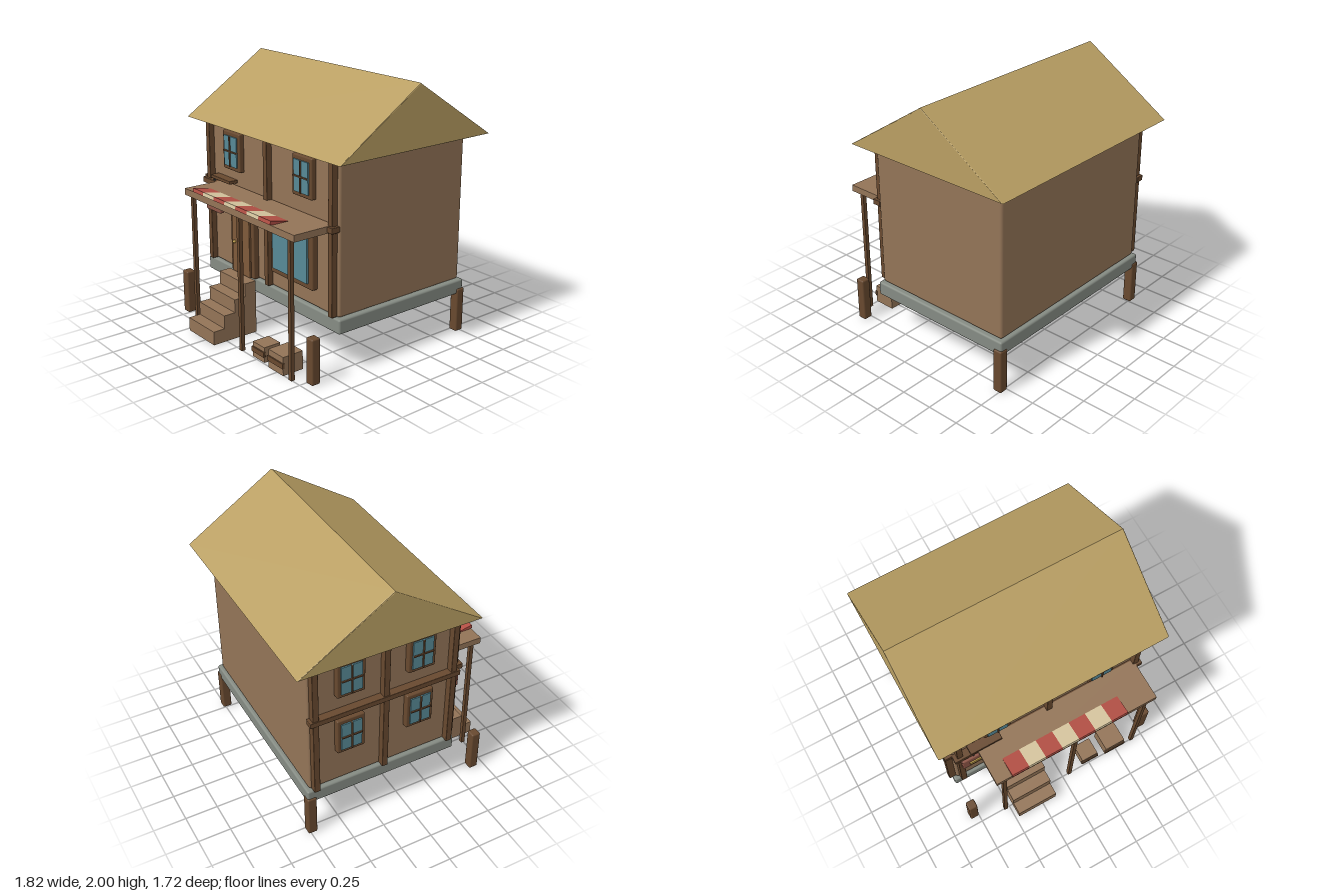
import * as THREE from 'three';
import { RoundedBoxGeometry } from 'three/addons/geometries/RoundedBoxGeometry.js';

const mat = (color) => new THREE.MeshStandardMaterial({ color });
const M = {
  wall: mat(0x937457), plank: mat(0x937457), timber: mat(0x68492f), frame: mat(0x68492f),
  stone: mat(0x858b83), roof: mat(0xb99f63), door: mat(0x7f5a3a), glass: mat(0x578996),
  gold: mat(0xc4a24c), red: mat(0xb35045), cream: mat(0xd8c7a0), sign: mat(0x8d5546), iron: mat(0x3c4043),
};

// Box given by its extents; r > 0 rounds the edges
function box(parent, name, material, [x0, x1], [y0, y1], [z0, z1], r = 0) {
  const s = [x1 - x0, y1 - y0, z1 - z0];
  const geo = r ? new RoundedBoxGeometry(...s, 2, r) : new THREE.BoxGeometry(...s);
  const mesh = new THREE.Mesh(geo, material);
  mesh.name = name;
  mesh.position.set((x0 + x1) / 2, (y0 + y1) / 2, (z0 + z1) / 2);
  parent.add(mesh);
  return mesh;
}

const span = (c, size) => [c - size / 2, c + size / 2];

function group(parent, name) {
  const g = new THREE.Group();
  g.name = name;
  parent.add(g);
  return g;
}

// Four-pane window facing +z, back of the frame at z = 0
function paneWindow(parent, name) {
  const g = group(parent, name);
  box(g, 'windowFrame', M.frame, span(0, 0.215), span(0, 0.295), [-0.01, 0.04], 0.01);
  box(g, 'windowGlass', M.glass, span(0, 0.16), span(0, 0.23), [0.03, 0.05]);
  box(g, 'windowMullion', M.frame, span(0, 0.01), span(0, 0.23), [0.04, 0.06]);
  box(g, 'windowTransom', M.frame, span(0, 0.16), span(0, 0.01), [0.04, 0.06]);
  return g;
}

export function createModel() {
  const model = new THREE.Group();
  model.name = 'stiltHouse';

  // House body
  box(model, 'foundation', M.stone, [-0.81, 0.81], [0.305, 0.415], [-0.765, 0.45], 0.015);
  box(model, 'houseBody', M.wall, [-0.785, 0.78], [0.415, 1.545], [-0.74, 0.43], 0.02);

  // Stilts
  for (const x of [-0.785, 0.785])
    for (const z of [-0.735, 0.66])
      box(model, 'stilt', M.timber, span(x, 0.072), [0, 0.345], span(z, 0.072), 0.012);

  // Gable roof with its ridge along x
  const gable = new THREE.Shape();
  gable.moveTo(-0.54, 1.545);
  gable.lineTo(0.86, 1.545);
  gable.lineTo(0.16, 2);
  gable.closePath();
  const roofGeo = new THREE.ExtrudeGeometry(gable, {
    depth: 1.8, bevelEnabled: true, bevelThickness: 0.01, bevelSize: 0.006, bevelOffset: -0.006, bevelSegments: 2,
  });
  roofGeo.translate(0, 0, -0.9);
  roofGeo.rotateY(Math.PI / 2);
  const roof = new THREE.Mesh(roofGeo, M.roof);
  roof.name = 'roof';
  model.add(roof);

  // Timber framing on the front and the right wall
  for (const x of [-0.737, 0, 0.735])
    box(model, 'frontTimber', M.timber, span(x, 0.046), [0.42, 1.545], [0.425, 0.475], 0.005);
  for (const z of [-0.7, -0.155, 0.39])
    box(model, 'sideTimber', M.timber, [-0.838, -0.78], [0.42, 1.545], span(z, 0.046), 0.005);
  box(model, 'frontBeam', M.timber, [-0.79, 0.78], [1.04, 1.083], [0.425, 0.495], 0.005);
  box(model, 'sideBeam', M.timber, [-0.845, -0.78], [1.04, 1.083], [-0.745, 0.44], 0.005);

  // Small windows
  for (const x of [-0.428, 0.423]) paneWindow(model, 'frontWindow').position.set(x, 1.355, 0.43);
  for (const y of [0.855, 1.355])
    for (const z of [-0.43, 0.12]) {
      const w = paneWindow(model, 'sideWindow');
      w.position.set(-0.793, y, z);
      w.rotation.y = -Math.PI / 2;
    }

  // Shop window
  box(model, 'shopWindowFrame', M.frame, [0.06, 0.545], [0.55, 0.993], [0.42, 0.475], 0.012);
  box(model, 'shopWindowGlass', M.glass, [0.1, 0.5], [0.595, 0.945], [0.46, 0.49]);

  // Door
  box(model, 'doorFrame', M.frame, [-0.45, -0.155], [0.415, 0.94], [0.42, 0.475], 0.008);
  box(model, 'door', M.door, [-0.412, -0.19], [0.418, 0.91], [0.46, 0.49], 0.005);
  const knob = new THREE.Mesh(new THREE.SphereGeometry(0.013, 16, 12), M.gold);
  knob.name = 'doorKnob';
  knob.position.set(-0.373, 0.665, 0.5);
  model.add(knob);

  // Porch roof and its posts
  box(model, 'porchRoof', M.plank, [-0.605, 0.73], [1.035, 1.085], [0.44, 0.775]);
  for (const x of [-0.533, 0.062, 0.655])
    box(model, 'porchPost', M.timber, span(x, 0.03), [0, 1.036], span(0.745, 0.03));

  // Striped awning, tilted up towards the front
  const awning = group(model, 'awning');
  awning.position.set(0, 1.068, 0.615);
  awning.rotation.x = -0.21;
  const stripe = 0.96 / 7;
  for (let i = 0; i < 7; i++)
    box(awning, 'awningStripe', i % 2 ? M.cream : M.red, span((i - 3) * stripe, stripe), span(0, 0.028), span(0, 0.34));

  // Hanging sign
  box(model, 'signBracket', M.timber, [-0.665, -0.41], [1.105, 1.13], [0.43, 0.505], 0.004);
  box(model, 'signHanger', M.iron, span(-0.64, 0.012), [1, 1.11], span(0.485, 0.012));
  box(model, 'signBoard', M.sign, [-0.74, -0.55], [0.838, 1.01], [0.465, 0.505], 0.01);
  box(model, 'signPlate', M.gold, [-0.685, -0.595], [0.905, 0.945], [0.5, 0.515]);

  // Front steps
  for (let i = 0; i < 4; i++)
    box(model, 'step', M.plank, [-0.47, -0.132], [0, 0.415 - i * 0.103], [0.48 + i * 0.096, 0.576 + i * 0.096]);

  // Crates with a slat across the front
  for (const [x, w, h] of [[0.26, 0.14, 0.118], [0.487, 0.172, 0.142]]) {
    const crate = group(model, 'crate');
    box(crate, 'crateBox', M.plank, span(x, w), [0, h], span(0.67, w));
    box(crate, 'crateSlat', M.timber, span(x, w + 0.01), span(h * 0.53, 0.042), [0.66 + w / 2, 0.68 + w / 2], 0.004);
  }

  return model;
}
